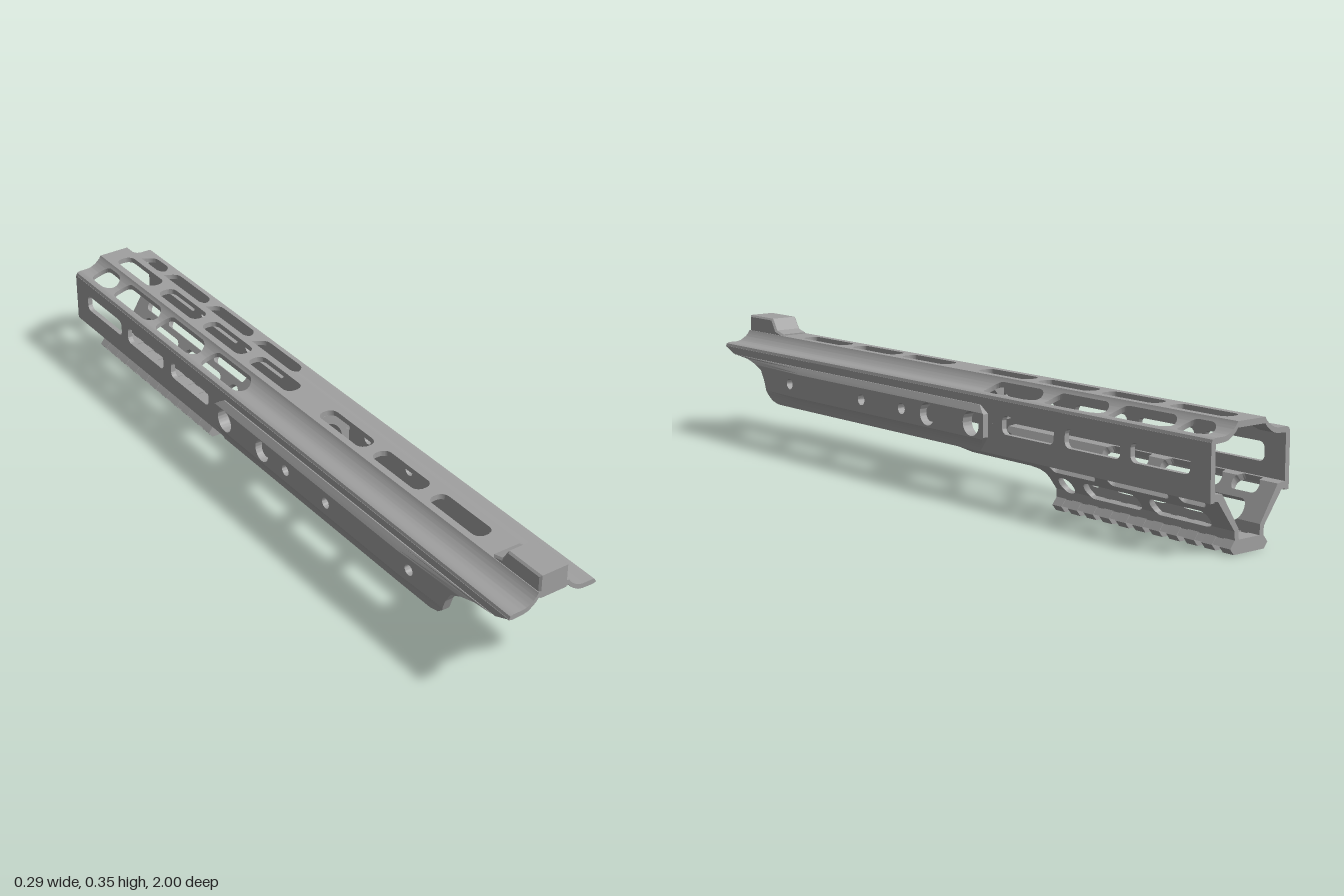
import * as THREE from 'three';
import { toCreasedNormals } from 'three/addons/utils/BufferGeometryUtils.js';

const metal = new THREE.MeshStandardMaterial({ color: 0xa0a0a0 });
metal.name = 'grey metal';

// Piecewise linear lookup: keys rising, values numbers
function curve(pts) {
  return (s) => {
    let i = 0;
    while (i < pts.length - 2 && s > pts[i + 1][0]) i++;
    const [a, b] = [pts[i], pts[i + 1]];
    const t = Math.min(1, Math.max(0, (s - a[0]) / (b[0] - a[0])));
    return a[1] + (b[1] - a[1]) * t;
  };
}

const slot = (c, w, z0, z1, r = w) => ({ c, w, z0, z1, r });

// z range left open by a slot at cross position s
function opening(h, s) {
  const over = Math.min(h.r, Math.max(0, Math.abs(s - h.c) - (h.w - h.r)));
  const inset = h.r - Math.sqrt(h.r * h.r - over * over);
  return [h.z0 + inset, h.z1 - inset];
}

// Thick sheet running along z. outer/inner(s, z) give [x, y]; slots pierce it.
function sheet({ outer, inner, rows, start, end, slots, cuts = [], sign = 1 }) {
  const lo = rows[0], hi = rows[rows.length - 1];
  let list = [...rows];
  for (const h of slots) {
    for (let k = -6; k <= 6; k++) list.push(h.c + h.w * Math.sin((k * Math.PI) / 12));
  }
  list = list.filter((s) => s >= lo && s <= hi).sort((a, b) => a - b);
  list = list.filter((s, i) => i === 0 || s - list[i - 1] > 1e-5);
  const pos = [];
  const quad = (mid, a, b, c, d) => {
    const n = b.clone().sub(a).cross(c.clone().sub(a)).add(c.clone().sub(a).cross(d.clone().sub(a)));
    if (n.length() < 1e-10) return;
    const centre = a.clone().add(b).add(c).add(d).multiplyScalar(0.25);
    const q = n.dot(centre.sub(mid)) > 0 ? [a, b, c, a, c, d] : [a, c, b, a, d, c];
    q.forEach((v) => pos.push(v.x, v.y, v.z));
  };
  const at = (f, s, z) => { const [x, y] = f(s, z); return new THREE.Vector3(x * sign, y, z); };
  const block = (s0, s1, a, b) => {
    const p = [];
    for (const f of [outer, inner]) {
      p.push(at(f, s0, a[0]), at(f, s0, a[1]), at(f, s1, b[1]), at(f, s1, b[0]));
    }
    const mid = p.reduce((m, v) => m.add(v), new THREE.Vector3()).multiplyScalar(1 / 8);
    quad(mid, p[0], p[1], p[2], p[3]);
    quad(mid, p[4], p[5], p[6], p[7]);
    for (let i = 0; i < 4; i++) {
      const j = (i + 1) % 4;
      quad(mid, p[i], p[j], p[4 + j], p[4 + i]);
    }
  };
  for (let i = 0; i < list.length - 1; i++) {
    const s0 = list[i], s1 = list[i + 1], m = (s0 + s1) / 2, e = (s1 - s0) * 0.001;
    const open = slots.filter((h) => Math.abs(m - h.c) < h.w).sort((a, b) => a.z0 - b.z0);
    const edges = [s0, s1].map((s, k) => {
      const n = k ? s - e : s + e;
      return [start(n), ...open.flatMap((h) => opening(h, s)), end(n)];
    });
    for (let k = 0; k < edges[0].length; k += 2) {
      let a = edges[0][k], b = edges[1][k];
      for (const cut of cuts) {
        if (cut > Math.max(a, b) && cut < Math.min(edges[0][k + 1], edges[1][k + 1])) {
          block(s0, s1, [a, cut], [b, cut]);
          a = b = cut;
        }
      }
      block(s0, s1, [a, edges[0][k + 1]], [b, edges[1][k + 1]]);
    }
  }
  const g = new THREE.BufferGeometry();
  g.setAttribute('position', new THREE.Float32BufferAttribute(pos, 3));
  return toCreasedNormals(g, 0.45);
}

function polygon(points) {
  return new THREE.Shape(points.map(([x, y]) => new THREE.Vector2(x, y)));
}

export function createModel() {
  const group = new THREE.Group();
  const add = (name, geo, x = 0, y = 0, z = 0) => {
    const mesh = new THREE.Mesh(geo, metal);
    mesh.name = name;
    mesh.position.set(x, y, z);
    group.add(mesh);
    return mesh;
  };
  const back = () => -1, front = () => 1;

  // Flat top strip with its row of slots
  const topSlots = [[-0.945, -0.75], [-0.71, -0.515], [-0.48, -0.28], [-0.245, -0.045],
    [0.087, 0.283], [0.32, 0.515], [0.555, 0.755]].map(([a, b]) => slot(0, 0.026, a, b, 0.022));
  add('topStrip', sheet({
    outer: (s) => [s, 0.31], inner: (s) => [s, 0.295],
    rows: [-0.045, 0.045], start: back, end: front, slots: topSlots,
  }));

  // Raised block at the front end of the top
  const block = new THREE.ExtrudeGeometry(
    polygon([[0.835, 0.297], [0.835, 0.31], [0.865, 0.318], [0.885, 0.35], [0.995, 0.35], [0.995, 0.297]]),
    { depth: 0.076, bevelThickness: 0.005, bevelSize: 0.005, bevelSegments: 1 });
  block.rotateY(-Math.PI / 2);
  add('frontBlock', block, 0.038);

  const shoulderY = curve([[0.045, 0.31], [0.05, 0.302], [0.058, 0.294], [0.067, 0.288],
    [0.077, 0.283], [0.088, 0.28], [0.118, 0.28], [0.126, 0.277], [0.13, 0.268]]);
  const shoulderIn = curve([[0.045, 0.295], [0.052, 0.286], [0.062, 0.278], [0.075, 0.27],
    [0.088, 0.267], [0.13, 0.265]]);
  const shoulderSlots = [[-0.955, -0.855], [-0.83, -0.625], [-0.6, -0.395], [-0.36, -0.16]]
    .map(([a, b]) => slot(0.081, 0.029, a, b));

  const wallEnd = curve([[0.13, 0.72], [0.138, 0.75], [0.155, 0.77], [0.19, 0.782], [0.22, 0.8],
    [0.235, 0.835], [0.245, 0.88], [0.25, 0.94], [0.2501, 1]]);
  const wallHoles = [slot(0.2, 0.032, -0.202, -0.138), slot(0.2, 0.03, -0.02, 0.04),
    ...[0.12, 0.3, 0.645].map((z) => slot(0.2, 0.015, z - 0.015, z + 0.015))];
  const wallSlots = [[-0.47, -0.275], [-0.705, -0.51], [-0.935, -0.74]]
    .map(([a, b]) => slot(0.21, 0.024, a, b, 0.016));
  const wallRows = [0.13, 0.138, 0.155, 0.19, 0.22, 0.235, 0.245, 0.25];

  // Bulged plate thins out towards the front
  const bulgeX = curve([[0.13, 0.134], [0.155, 0.14], [0.165, 0.146], [0.232, 0.146], [0.25, 0.133]]);
  const taper = (z) => Math.max(0, (z - 0.6) / 0.4);

  // Sloping lower panel, measured by height
  const lowOutX = curve([[0.03, 0.047], [0.055, 0.049], [0.132, 0.105], [0.136, 0.128]]);
  const lowInX = curve([[0.03, 0.034], [0.055, 0.036], [0.132, 0.092], [0.136, 0.128]]);
  const lowInY = curve([[0.03, 0.03], [0.055, 0.06], [0.132, 0.148], [0.136, 0.152]]);
  const lowSlots = [
    ...[[-0.58, -0.417], [-0.83, -0.625], [-0.95, -0.865]].map(([a, b]) => slot(0.12, 0.014, a, b)),
    ...[[-0.468, -0.418], [-0.705, -0.51], [-0.935, -0.74]].map(([a, b]) => slot(0.072, 0.021, a, b)),
  ];
  const lowEnd = curve([[0.03, -0.39], [0.085, -0.39], [0.098, -0.385], [0.106, -0.37],
    [0.11, -0.34], [0.1101, -0.11], [0.116, -0.07], [0.122, -0.04], [0.136, -0.04]]);

  for (const sign of [1, -1]) {
    const side = sign > 0 ? 'left' : 'right';
    add(side + 'Shoulder', sheet({
      outer: (s) => [s, shoulderY(s)], inner: (s) => [s === 0.13 ? 0.118 : Math.min(s, 0.118), shoulderIn(s)],
      rows: [0.045, 0.05, 0.058, 0.067, 0.077, 0.088, 0.118, 0.126, 0.13],
      start: back, end: front, slots: shoulderSlots, sign,
    }));
    add(side + 'Wall', sheet({
      outer: () => [0.13, 0], inner: () => [0.116, 0], rows: [0, 1], start: back, end: front, slots: [],
      ...{
        outer: (s) => [0.13, s], inner: (s) => [0.116, s], rows: [...wallRows, 0.27],
        end: wallEnd, slots: [...wallHoles, ...wallSlots],
      }, sign,
    }));
    add(side + 'BulgedPlate', sheet({
      outer: (s, z) => [bulgeX(s) - (bulgeX(s) - 0.131) * taper(z), s], inner: (s) => [0.125, s],
      rows: [...wallRows, 0.165, 0.232].sort((a, b) => a - b),
      start: curve([[0.13, -0.19], [0.17, -0.22], [0.23, -0.22], [0.25, -0.19]]),
      end: wallEnd, slots: wallHoles, cuts: [0.6], sign,
    }));
    add(side + 'LowerPanel', sheet({
      outer: (s) => [lowOutX(s), s], inner: (s) => [lowInX(s), lowInY(s)],
      rows: [0.03, 0.055, 0.085, 0.098, 0.106, 0.11, 0.1101, 0.116, 0.122, 0.132, 0.136],
      start: back, end: lowEnd, slots: lowSlots, sign,
    }));

    // Side screw, its head in the wall and a boss on the clamp
    for (const [name, r, len, x] of [['Screw', 0.013, 0.045, 0.103], ['ScrewHead', 0.022, 0.014, 0.124]]) {
      const screw = new THREE.CylinderGeometry(r, r, len, 24);
      screw.rotateZ(Math.PI / 2);
      add(side + name, screw, sign * x, 0.2, 0.01);
    }
    add(side + 'ClampBoss', new THREE.BoxGeometry(0.03, 0.06, 0.07), sign * 0.095, 0.194, 0.01);
  }

  // Bottom rail: floor, base and cross teeth
  add('railFloor', new THREE.BoxGeometry(0.094, 0.018, 0.61), 0, 0.023, -0.695);
  const toothShape = polygon([[-0.05, 0], [0.05, 0], [0.062, 0.015], [0.047, 0.034], [-0.047, 0.034], [-0.062, 0.015]]);
  for (let i = 0; i < 11; i++) {
    add('railTooth', new THREE.ExtrudeGeometry(toothShape, { depth: 0.034, bevelEnabled: false }), 0, 0, -1 + i * 0.0576);
  }
  const baseShape = polygon([[-0.052, 0.014], [0.052, 0.014], [0.06, 0.016], [0.047, 0.032], [-0.047, 0.032], [-0.06, 0.016]]);
  add('railBase', new THREE.ExtrudeGeometry(baseShape, { depth: 0.61, bevelEnabled: false }), 0, 0, -1);

  // Arched clamp inside, held by a top screw
  const arch = polygon([[0.06, 0.163], [0.082, 0.163], [0.082, 0.225], [0.074, 0.23], [0.074, 0.27],
    [0.058, 0.275], [0.04, 0.291], [-0.04, 0.291], [-0.058, 0.275], [-0.074, 0.27], [-0.074, 0.23],
    [-0.082, 0.225], [-0.082, 0.163], [-0.06, 0.163]]);
  arch.lineTo(-0.06, 0.207);
  arch.absarc(0, 0.207, 0.06, Math.PI, 0, true);
  arch.lineTo(0.06, 0.163);
  add('clamp', toCreasedNormals(new THREE.ExtrudeGeometry(arch, { depth: 0.125, bevelEnabled: false, curveSegments: 24 }), 0.45), 0, 0, -0.042);
  add('clampScrew', new THREE.CylinderGeometry(0.013, 0.013, 0.045, 20), 0, 0.278, 0.02);
  return group;
}
